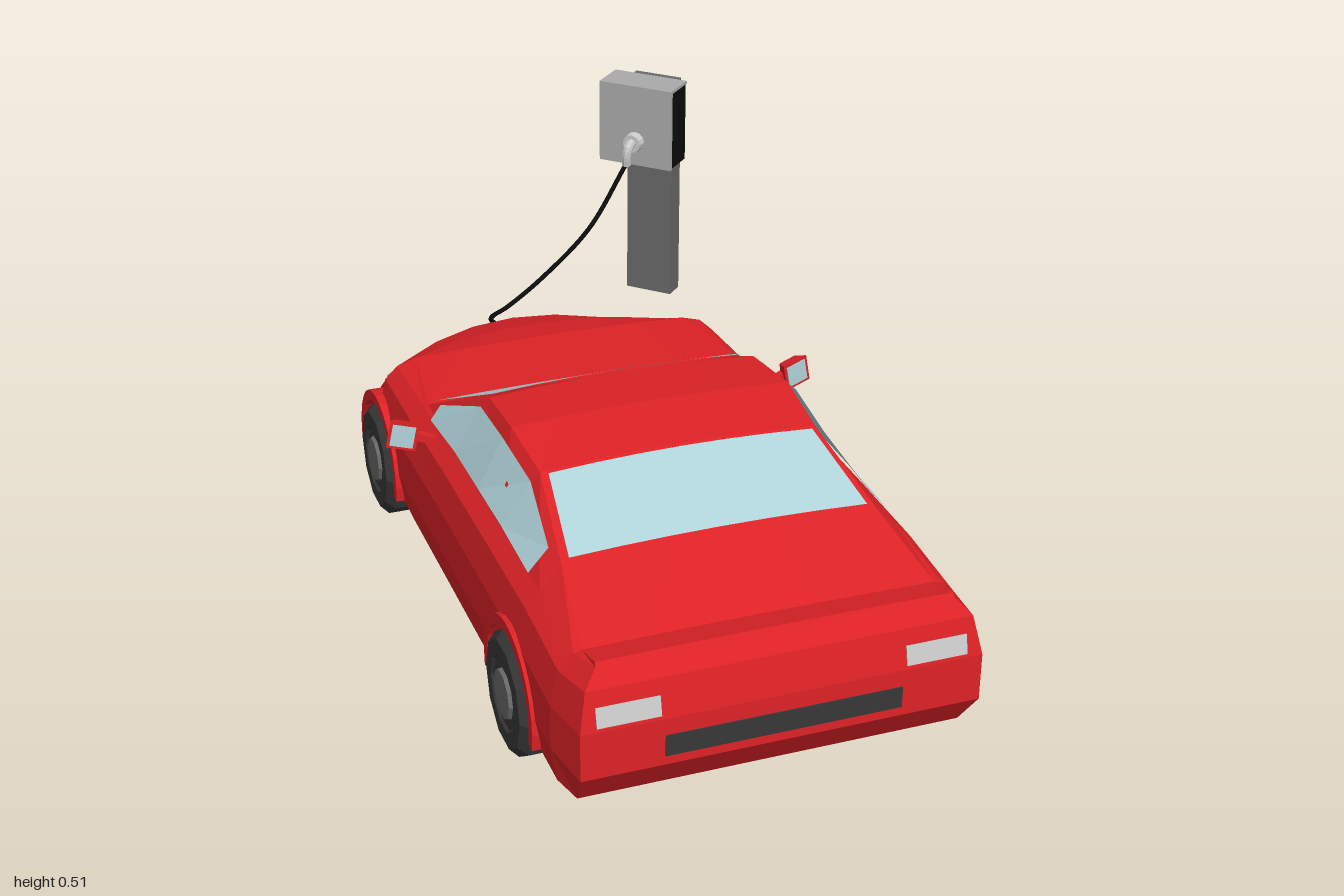
import * as THREE from 'three';

const mat = (color, double = false) => new THREE.MeshStandardMaterial({
  color, flatShading: true, side: double ? THREE.DoubleSide : THREE.FrontSide });
const RED = 0xdd2226, GLASS = 0xb0d4da, DARK = 0x383838, BLACK = 0x0c0c0c, LAMP = 0xc4c4c4, STEEL = 0x696969;

function add(parent, name, geo, material, x = 0, y = 0, z = 0) {
  const m = new THREE.Mesh(geo, material);
  m.name = name;
  m.position.set(x, y, z);
  parent.add(m);
  return m;
}

// Surface through rows of points; normal = column direction x row direction
function grid(P) {
  const n = P[0].length, idx = [];
  for (let r = 0; r < P.length - 1; r++) for (let c = 0; c < n - 1; c++) {
    const a = r * n + c, d = a + n;
    idx.push(a, a + 1, d + 1, a, d + 1, d);
  }
  const g = new THREE.BufferGeometry();
  g.setAttribute('position', new THREE.Float32BufferAttribute(P.flat(2), 3));
  g.setIndex(idx);
  g.computeVertexNormals();
  return g;
}

// Body stations, nose to tail: w = width factor, belt/edge/top heights, roofX = half width of top
const NOSE = -0.38, BEND = 1.66;
const stations = [
  { z: NOSE, w: 0.94, belt: 0.24, roofX: 0.25, edge: 0.248, top: 0.257, bend: BEND, dz: [0.02, 0.01, 0, 0, 0, 0.005, 0.01] },
  { z: -0.22, w: 0.97, belt: 0.29, roofX: 0.25, edge: 0.303, top: 0.312, bend: 0.7 },
  { z: -0.12, w: 0.99, belt: 0.318, roofX: 0.26, edge: 0.328, top: 0.335 },
  { z: 0.075, w: 1, belt: 0.328, roofX: 0.29, edge: 0.333, top: 0.338 },
  { z: 0.28, w: 1, belt: 0.338, roofX: 0.237, edge: 0.437, top: 0.447 },
  { z: 0.42, w: 1, belt: 0.34, roofX: 0.242, edge: 0.452, top: 0.46 },
  { z: 0.55, w: 1, belt: 0.342, roofX: 0.235, edge: 0.436, top: 0.446 },
  { z: 0.74, w: 1, belt: 0.342, roofX: 0.262, edge: 0.376, top: 0.384 },
  { z: 0.9, w: 1, belt: 0.328, roofX: 0.285, edge: 0.332, top: 0.335 },
  { z: 0, w: 0.96, belt: 0.342, roofX: 0.285, edge: 0.348, top: 0.35, dz: [0.92, 0.955, 1, 1, 0.985, 0.965, 0.96] },
];
const halfX = [0.3, 0.325, 0.335, 0.335, 0.322, 0.298];
const COLS = [1, 2 / 3, 1 / 3, 0, -1 / 3, -2 / 3, -1];

// Point on a station: row 0 = sill, 5 = belt, 6 = roof edge; t = -1..1 across the car
function pt(s, row, t) {
  const x = t * s.w * (row === 6 ? s.roofX / s.w : halfX[row]);
  const up = k => 0.09 + (s.belt - 0.09) * k;
  const y = row === 6 ? s.edge + (s.top - s.edge) * (1 - t * t) : up([0, 0.08, 0.33, 0.65, 0.9, 1][row]);
  return [x, y, s.z + (s.bend || 0) * x * x + (s.dz ? s.dz[row] : 0)];
}
const mix = (a, b, u) => a.map((v, i) => v + (b[i] - v) * u);
const between = (i, u, row, t) => mix(pt(stations[i], row, t), pt(stations[i + 1], row, t), u);

function ring(s) {
  const right = [0, 1, 2, 3, 4, 5].map(j => pt(s, j, 1));
  const left = [5, 4, 3, 2, 1].map(j => pt(s, j, -1));
  return [...right, ...COLS.map(t => pt(s, 6, t)), ...left, ...COLS.slice().reverse().map(t => pt(s, 0, t))];
}

function buildBody(car) {
  const red = mat(RED), glass = mat(GLASS, true), rows = [0, 1, 2, 3, 4, 5, 6];
  add(car, 'bodyShell', grid(stations.map(ring)), red);
  add(car, 'noseCap', grid(rows.map(j => COLS.map(t => pt(stations[0], j, t)))), red);
  add(car, 'tailCap', grid(rows.map(j => COLS.map(t => pt(stations[9], j, -t)))), red);

  // Windscreen and rear window follow the top surface
  const screen = (name, i, u0, u1) => add(car, name,
    grid([u0, u1].map(u => COLS.map(t => between(i, u, 6, t * 0.95)))), glass, 0, 0.005, 0);
  screen('windscreen', 3, 0.03, 0.95);
  screen('rearWindow', 6, 0.06, 0.95);

  // Side windows lie between belt and roof edge
  const span = [[3, 0.3], [4, 0], [5, 0], [6, 0], [6, 0.75]];
  for (const s of [1, -1]) {
    const strip = f => span.map(([i, u]) => mix(between(i, u, 5, s), between(i, u, 6, s), f));
    add(car, 'sideWindow', grid([strip(0.06), strip(0.84)]), glass, s * 0.006, 0.002, 0);
  }
}

// Panel wrapped around the curved nose
function nosePanel(car, name, x0, x1, y0, y1, color, taper = 0) {
  const P = [y0, y1].map((y, r) => Array.from({ length: 9 }, (_, k) => {
    const x = x0 + (x1 - x0) * k / 8;
    return [x, y + (r ? 0 : taper * k / 8), NOSE + BEND * x * x - 0.004];
  }));
  add(car, name, grid(P), mat(color, true));
}

function buildDetails(car) {
  nosePanel(car, 'upperGrille', -0.15, 0.15, 0.185, 0.228, DARK);
  nosePanel(car, 'lowerGrille', -0.26, 0.26, 0.105, 0.155, DARK);
  for (const s of [1, -1]) {
    nosePanel(car, 'headlight', s * 0.18, s * 0.285, 0.195, 0.236, LAMP, 0.012);
    const lamp = add(car, 'tailLight', new THREE.BoxGeometry(0.1, 0.032, 0.008), mat(LAMP), s * 0.246, 0.275, 0.993);
    lamp.rotation.x = -0.24;
  }
  add(car, 'rearPanel', new THREE.BoxGeometry(0.38, 0.036, 0.006), mat(DARK), 0, 0.207, 0.999);
}

function buildWheels(car) {
  const profile = [[0, -0.037], [0.085, -0.037], [0.106, -0.02], [0.106, 0.022], [0.09, 0.037],
    [0.064, 0.037], [0.06, 0.033], [0, 0.033]].map(p => new THREE.Vector2(...p));
  const tyre = new THREE.LatheGeometry(profile, 10);
  const hub = new THREE.CylinderGeometry(0.04, 0.044, 0.008, 10);
  const arch = new THREE.Shape();
  arch.absarc(0, 0, 0.128, -0.2, Math.PI + 0.2, false);
  arch.absarc(0, 0, 0.11, Math.PI + 0.2, -0.2, true);
  const archGeo = new THREE.ExtrudeGeometry(arch, { depth: 0.03, bevelEnabled: false, curveSegments: 8 });
  for (const s of [1, -1]) for (const z of [-0.11, 0.7]) {
    const wheel = new THREE.Group();
    wheel.name = z < 0 ? 'frontWheel' : 'rearWheel';
    wheel.position.set(s * 0.312, 0.14, z);
    wheel.rotation.z = -s * Math.PI / 2;
    add(wheel, 'tyre', tyre, mat(DARK, true));
    add(wheel, 'hub', hub, mat(STEEL), 0, 0.035, 0);
    car.add(wheel);
    const a = add(car, 'wheelArch', archGeo, mat(RED), s > 0 ? 0.311 : -0.341, 0.14, z);
    a.rotation.y = Math.PI / 2;
  }
}

function buildMirrors(car) {
  for (const s of [1, -1]) {
    const mirror = new THREE.Group();
    mirror.name = 'wingMirror';
    mirror.position.set(s * 0.361, 0.337, 0.17);
    mirror.rotation.set(0, s * 0.25, s * 0.2);
    const shell = add(mirror, 'mirrorShell', new THREE.CylinderGeometry(0.036, 0.024, 0.026, 4, 1), mat(RED));
    shell.rotation.set(Math.PI / 2, Math.PI / 4, 0, 'XYZ');
    add(mirror, 'mirrorGlass', new THREE.BoxGeometry(0.04, 0.04, 0.004), mat(GLASS), 0, 0, 0.013);
    const arm = add(mirror, 'mirrorArm', new THREE.BoxGeometry(0.06, 0.014, 0.014), mat(RED), -s * 0.045, -0.006, -0.005);
    arm.rotation.z = s * 0.1;
    car.add(mirror);
  }
}

function buildCharger(root) {
  const charger = new THREE.Group();
  charger.name = 'chargingStation';
  charger.position.set(0.378, 0, -0.906);
  charger.rotation.y = -Math.PI / 4;
  add(charger, 'post', new THREE.BoxGeometry(0.107, 0.5, 0.045), mat(STEEL), 0, 0.25, -0.057);
  add(charger, 'cabinet', new THREE.BoxGeometry(0.166, 0.174, 0.074), mat(BLACK), 0, 0.418, -0.002);
  add(charger, 'frontPlate', new THREE.BoxGeometry(0.17, 0.18, 0.008), mat(0xaaaaaa), 0, 0.42, 0.037);
  add(charger, 'topPlate', new THREE.BoxGeometry(0.17, 0.006, 0.08), mat(0xaaaaaa), 0, 0.507, 0);
  // Holster and plug handle
  const socket = add(charger, 'holster', new THREE.CylinderGeometry(0.02, 0.022, 0.02, 12), mat(LAMP), 0, 0.385, 0.05);
  socket.rotation.x = Math.PI / 2;
  add(charger, 'plugHandle', new THREE.TubeGeometry(new THREE.CatmullRomCurve3([
    [0, 0.388, 0.05], [0, 0.384, 0.072], [-0.002, 0.365, 0.078], [-0.004, 0.342, 0.075],
  ].map(p => new THREE.Vector3(...p))), 10, 0.01, 8), mat(LAMP, true));
  root.add(charger);
}

function buildCable(root) {
  const path = new THREE.CatmullRomCurve3([
    [-0.088, 0.21, -0.4], [-0.07, 0.158, -0.555], [-0.03, 0.1, -0.71], [0.03, 0.083, -0.785],
    [0.11, 0.125, -0.807], [0.22, 0.225, -0.81], [0.322, 0.345, -0.856],
  ].map(p => new THREE.Vector3(...p)));
  add(root, 'cable', new THREE.TubeGeometry(path, 60, 0.005, 8), mat(BLACK));
  const plug = add(root, 'carPlug', new THREE.CylinderGeometry(0.016, 0.008, 0.045, 10), mat(LAMP), -0.088, 0.214, -0.395);
  plug.rotation.x = Math.PI / 2 - 0.3;
}

export function createModel() {
  const root = new THREE.Group();
  root.name = 'carAtChargingStation';
  const car = new THREE.Group();
  car.name = 'car';
  car.position.x = -0.088;
  buildBody(car);
  buildDetails(car);
  buildWheels(car);
  buildMirrors(car);
  root.add(car);
  buildCharger(root);
  buildCable(root);
  return root;
}
